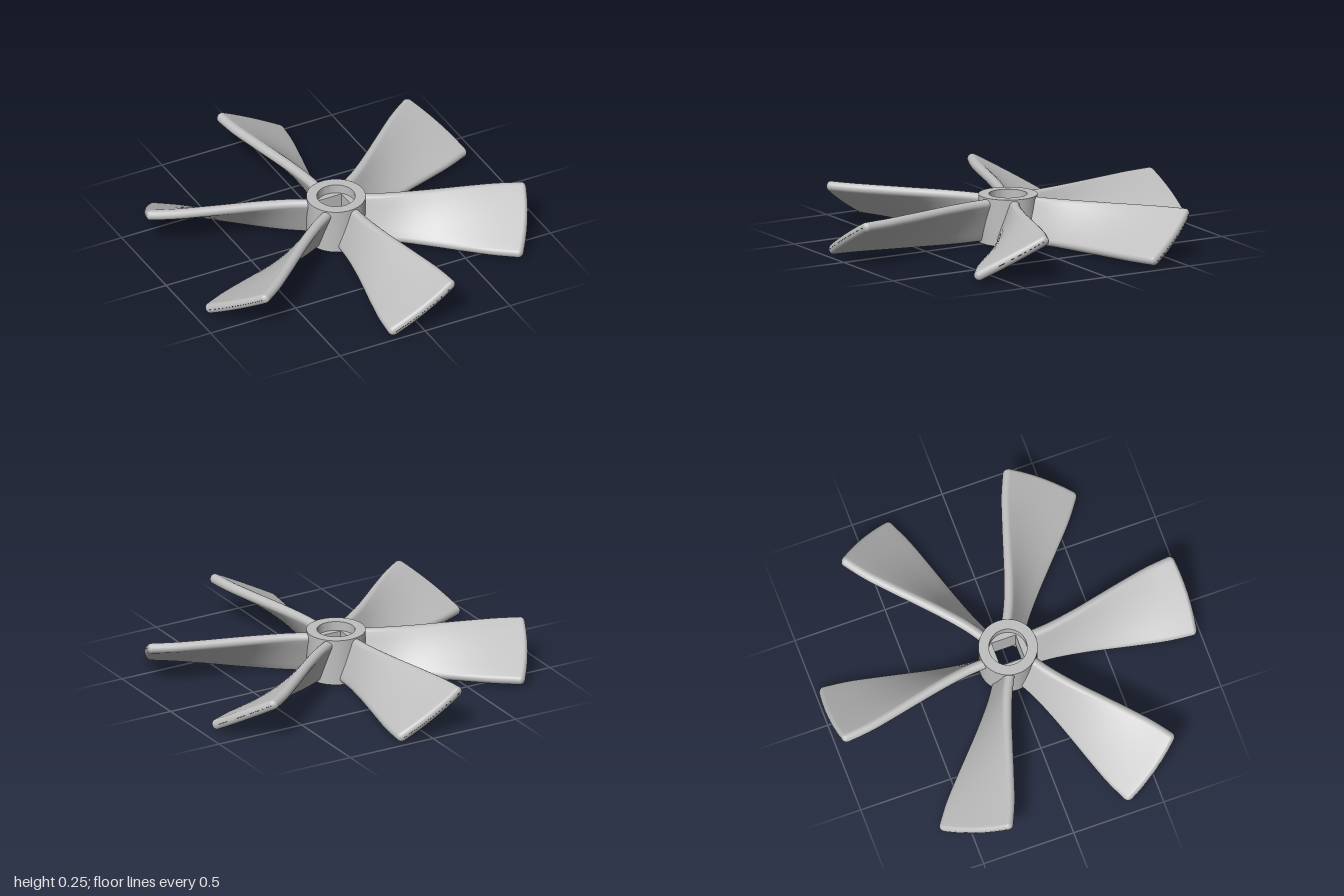
import * as THREE from 'three';
import { toCreasedNormals } from 'three/addons/utils/BufferGeometryUtils.js';

const HEIGHT = 0.25, BLADES = 6, EDGE = 0.027;

// Slice of the hub: a disc with a round or square hole, standing on y
function hubSlice(y, height, hole) {
  const shape = new THREE.Shape().absarc(0, 0, 0.155, 0, Math.PI * 2);
  shape.holes.push(hole);
  const geo = new THREE.ExtrudeGeometry(shape, { depth: height, bevelEnabled: false, curveSegments: 32 });
  geo.rotateX(-Math.PI / 2).translate(0, y, 0);
  return toCreasedNormals(geo, 0.6);
}

// Twisted blade along +z, lofted from slanted round-ended sections
function bladeGeometry() {
  const width = new THREE.SplineCurve([
    [0.13, 0.058], [0.25, 0.066], [0.4, 0.09], [0.55, 0.121],
    [0.7, 0.153], [0.85, 0.182], [1, 0.198],
  ].map(([r, w]) => new THREE.Vector2(r, w)));
  const sections = [];
  for (let i = 0; i <= 24; i++) {
    const p = width.getPoint(i / 24 * 0.965);
    sections.push({ r: p.x, w: p.y, e: EDGE });
  }
  // Rounded tip
  const last = sections[sections.length - 1];
  for (let i = 1; i <= 6; i++) {
    const a = i / 6 * Math.PI / 2;
    sections.push({ r: last.r + (1 - last.r) * Math.sin(a), w: last.w, e: EDGE * Math.max(Math.cos(a), 0.01) });
  }

  const CAP = 8, FACE = 6, pos = [], index = [];
  for (const { r, w, e } of sections) {
    const hx = w - EDGE, hy = 0.118 - EDGE;
    const slant = Math.atan2(hy, hx);
    const ring = [];
    for (const side of [1, -1]) {
      const start = slant + (side > 0 ? 0 : Math.PI) - Math.PI / 2;
      for (let k = 0; k <= CAP; k++) {
        const a = start + k / CAP * Math.PI;
        ring.push([side * hx + e * Math.cos(a), side * hy + e * Math.sin(a)]);
      }
      // Points along the flat face
      const nx = -Math.sin(slant) * e * side, ny = Math.cos(slant) * e * side;
      for (let k = 1; k < FACE; k++) {
        const t = side * (1 - 2 * k / FACE);
        ring.push([hx * t + nx, hy * t + ny]);
      }
    }
    for (const [x, y] of ring) pos.push(x, y + HEIGHT / 2, Math.sqrt(r * r - x * x));
  }
  const n = 2 * (CAP + FACE);
  for (let s = 0; s < sections.length - 1; s++) {
    for (let k = 0; k < n; k++) {
      const a = s * n + k, b = s * n + (k + 1) % n;
      index.push(a, b, b + n, a, b + n, a + n);
    }
  }
  const geo = new THREE.BufferGeometry();
  geo.setAttribute('position', new THREE.Float32BufferAttribute(pos, 3));
  geo.setIndex(index);
  geo.computeVertexNormals();
  return geo;
}

export function createModel() {
  const model = new THREE.Group();
  model.name = 'fanRotor';
  const grey = new THREE.MeshStandardMaterial({ color: 0xbfbfbf });
  grey.name = 'light grey';

  // Hub with a square shaft hole and a round recess at each end
  const hub = new THREE.Group();
  hub.name = 'hub';
  const round = new THREE.Path().absarc(0, 0, 0.1, 0, Math.PI * 2, true);
  const h = 0.067;
  const square = new THREE.Path([[-h, -h], [-h, h], [h, h], [h, -h]].map(([x, y]) => new THREE.Vector2(x, y)));
  const recess = 0.05;
  const slices = [
    ['bottomRim', 0, recess, round],
    ['shaftSocket', recess, HEIGHT - 2 * recess, square],
    ['topRim', HEIGHT - recess, recess, round],
  ];
  for (const [name, y, height, hole] of slices) {
    const mesh = new THREE.Mesh(hubSlice(y, height, hole), grey);
    mesh.name = name;
    hub.add(mesh);
  }
  model.add(hub);

  // Blades evenly spaced around the hub
  const geo = bladeGeometry();
  for (let i = 0; i < BLADES; i++) {
    const blade = new THREE.Mesh(geo, grey);
    blade.name = 'blade' + (i + 1);
    blade.rotation.y = i / BLADES * Math.PI * 2;
    model.add(blade);
  }
  return model;
}
